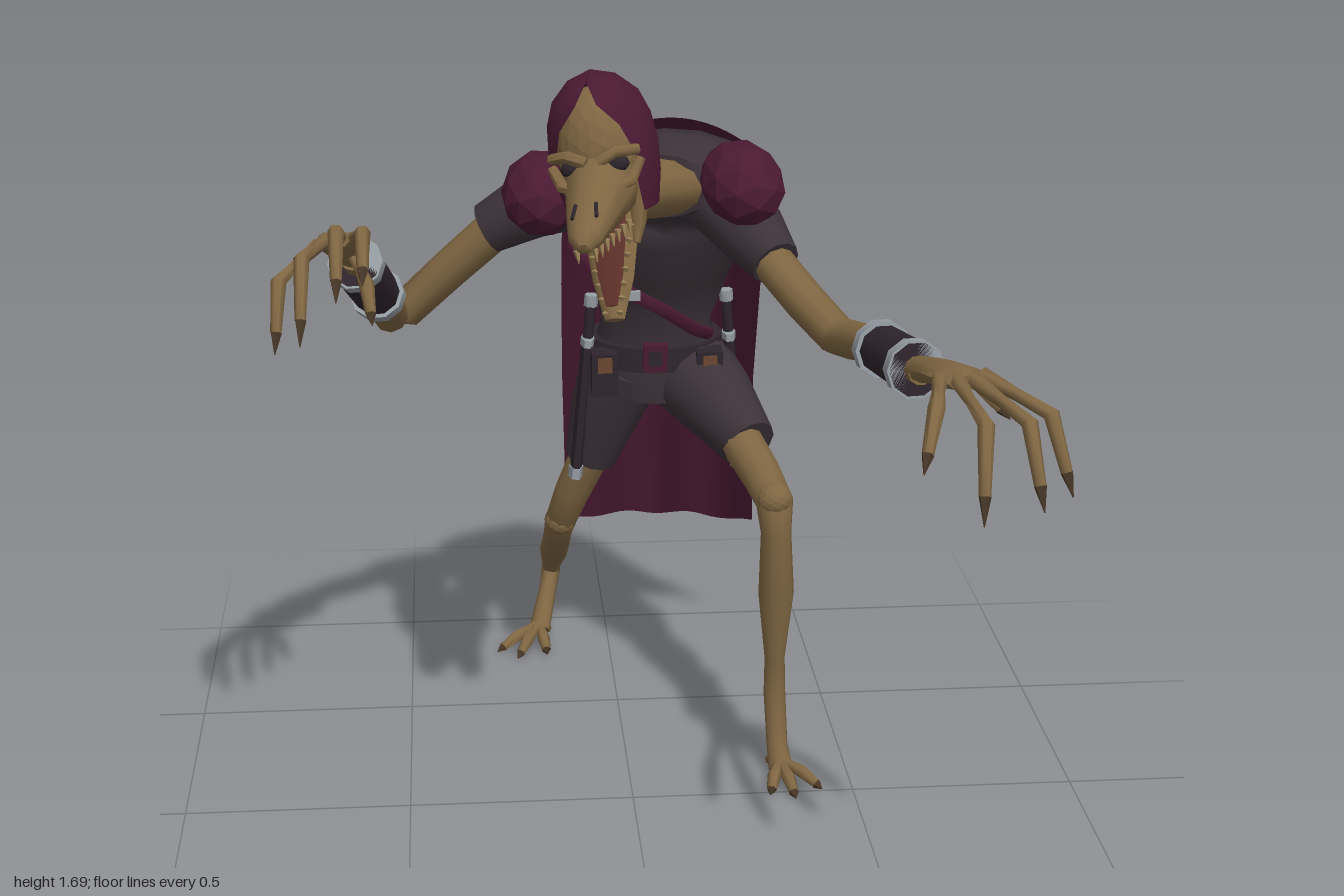
import * as THREE from 'three';
import { toCreasedNormals } from 'three/addons/utils/BufferGeometryUtils.js';

const mat = (name, color, side = THREE.FrontSide) => {
  const m = new THREE.MeshStandardMaterial({ color, side });
  m.name = name;
  return m;
};
const skin = mat('tan skin', 0x7f6642);
const wine = mat('burgundy cloth', 0x4a1a32, THREE.DoubleSide);
const cloth = mat('charcoal cloth', 0x3c3238);
const leather = mat('dark leather', 0x2f252d);
const silver = mat('silver metal', 0x969da4);
const mouthRed = mat('mouth red', 0x5c3029);
const bone = mat('tooth bone', 0xa0875a);
const dark = mat('eye dark', 0x2c2429);
const horn = mat('claw brown', 0x463627);
const wood = mat('brown grip', 0x6b4630);

const V = (p) => new THREE.Vector3(p[0], p[1], p[2]);
const mix = (p, q, t) => p.map((v, i) => v + (q[i] - v) * t);

function geo(pos, idx) {
  const g = new THREE.BufferGeometry();
  g.setAttribute('position', new THREE.Float32BufferAttribute(pos, 3));
  g.setIndex(idx);
  return toCreasedNormals(g, 1.1);
}

function add(parent, name, geometry, material) {
  const m = new THREE.Mesh(geometry, material);
  m.name = name;
  parent.add(m);
  return m;
}

// Capped tube through elliptical sections [x, y, z, a, b]; hint sets the direction of a
function loft(parent, name, material, path, sides = 8, hint) {
  const c = path.map(V), n = c.length, pos = [], idx = [];
  const whole = c[n - 1].clone().sub(c[0]).normalize();
  const ref = hint ? V(hint) : Math.abs(whole.x) > 0.8 ? V([0, 0, 1]) : V([1, 0, 0]);
  path.forEach(([, , , a, b = a], i) => {
    const t = c[Math.min(i + 1, n - 1)].clone().sub(c[Math.max(i - 1, 0)]).normalize();
    const s = ref.clone().addScaledVector(t, -t.dot(ref)).normalize();
    const u = t.clone().cross(s);
    for (let j = 0; j < sides; j++) {
      const w = (j / sides) * Math.PI * 2;
      pos.push(...c[i].clone().addScaledVector(s, a * Math.cos(w)).addScaledVector(u, b * Math.sin(w)).toArray());
    }
  });
  pos.push(...c[0].toArray(), ...c[n - 1].toArray());
  for (let j = 0; j < sides; j++) {
    const k = (j + 1) % sides, e = (n - 1) * sides;
    for (let i = 0; i < n - 1; i++) {
      const p = i * sides, q = p + sides;
      idx.push(p + j, p + k, q + j, p + k, q + k, q + j);
    }
    idx.push(n * sides, k, j, n * sides + 1, e + j, e + k);
  }
  return add(parent, name, geo(pos, idx), material);
}

// Faceted ellipsoid
function blob(parent, name, material, p, scale, detail = 1) {
  const g = new THREE.IcosahedronGeometry(1, detail);
  g.computeVertexNormals();
  const m = add(parent, name, g, material);
  m.position.set(...p);
  m.scale.set(...scale);
  return m;
}

// Bony finger or toe ending in a claw
function digit(parent, name, root, joint, tip, r) {
  const k = mix(joint, tip, 0.7);
  loft(parent, name, skin, [[...root, r], [...mix(root, joint, 0.5), r * 0.75], [...joint, r], [...k, r * 0.7]], 6);
  loft(parent, name + 'Claw', horn, [[...k, r * 0.75], [...tip, 0.001]], 5);
}

// Bracer with a silver ring at each end
function bracer(parent, p, q) {
  loft(parent, 'bracer', leather, [[...p, 0.05], [...q, 0.054]], 10);
  for (const t of [0, 0.88]) {
    loft(parent, 'bracerRing', silver, [[...mix(p, q, t), 0.059], [...mix(p, q, t + 0.12), 0.059]], 10);
  }
}

// Sheathed blade hanging from the belt
function sword(parent, top, end) {
  const piece = (name, m, s, e, a, b) =>
    loft(parent, name, m, [[...mix(top, end, s), b, a], [...mix(top, end, e), b, a]], 6);
  piece('swordPommel', silver, 0, 0.06, 0.016, 0.016);
  piece('swordGrip', leather, 0.05, 0.24, 0.012, 0.012);
  piece('swordGuard', silver, 0.23, 0.27, 0.032, 0.016);
  piece('swordSheath', leather, 0.27, 0.94, 0.024, 0.014);
  piece('sheathTip', silver, 0.94, 1, 0.026, 0.017);
}

function buildHead(root) {
  const head = new THREE.Group();
  head.name = 'head';
  head.position.set(-0.075, 1.56, 0.17);
  head.rotation.set(0, -0.27, 0.17);
  root.add(head);
  blob(head, 'skull', skin, [0, -0.015, 0.005], [0.093, 0.125, 0.097], 3);

  // Hood shell with a pointed opening over the face: [y, rx, rz, opening angle]
  const rows = [[0.138, 0.005, 0.005, 0], [0.122, 0.05, 0.05, 0.02], [0.085, 0.087, 0.09, 0.25], [0.04, 0.104, 0.106, 0.62],
    [-0.02, 0.11, 0.112, 0.82], [-0.08, 0.105, 0.107, 0.8], [-0.14, 0.092, 0.098, 0.95]];
  const pos = [], idx = [], n = 18;
  rows.forEach(([y, rx, rz, o], i) => {
    for (let j = 0; j <= n; j++) {
      const w = o + (Math.PI * 2 - 2 * o) * (j / n);
      pos.push(rx * Math.sin(w), y, rz * Math.cos(w));
      const p = i * (n + 1) + j, q = p + n + 1;
      if (i < rows.length - 1 && j < n) idx.push(p, q, p + 1, p + 1, q, q + 1);
    }
  });
  add(head, 'hood', geo(pos, idx), wine);

  // Long upper snout and hanging lower jaw
  loft(head, 'snout', skin, [[0, -0.07, 0.03, 0.08, 0.085], [0, -0.09, 0.11, 0.066, 0.068],
    [0, -0.115, 0.2, 0.048, 0.042], [0, -0.135, 0.262, 0.034, 0.027], [0, -0.148, 0.287, 0.014, 0.012]], 10);
  loft(head, 'lowerJaw', skin, [[0, -0.1, 0.0, 0.06, 0.03], [0, -0.17, 0.05, 0.056, 0.024],
    [0, -0.26, 0.105, 0.042, 0.02], [0, -0.33, 0.15, 0.02, 0.012]], 8);
  loft(head, 'mouthLining', mouthRed, [[0, -0.125, 0.05, 0.036, 0.004], [0, -0.165, 0.074, 0.036, 0.004],
    [0, -0.245, 0.121, 0.026, 0.004], [0, -0.3, 0.153, 0.012, 0.004]], 6);
  for (const s of [-1, 1]) {
    loft(head, 'jawHinge', skin, [[s * 0.07, -0.08, 0.04, 0.02], [s * 0.058, -0.16, 0.05, 0.016], [s * 0.05, -0.2, 0.07, 0.008]], 6);
    blob(head, 'eye', dark, [s * 0.045, -0.033, 0.094], [0.025, 0.018, 0.018]);
    loft(head, 'brow', skin, [[s * 0.012, -0.022, 0.115, 0.012], [s * 0.048, -0.006, 0.108, 0.013], [s * 0.088, -0.012, 0.08, 0.011]], 6);
    loft(head, 'cheekbone', skin, [[s * 0.035, -0.075, 0.125, 0.012], [s * 0.07, -0.066, 0.1, 0.013], [s * 0.09, -0.03, 0.078, 0.01]], 6);
    loft(head, 'nostril', dark, [[s * 0.02, -0.078, 0.215, 0.004], [s * 0.024, -0.097, 0.245, 0.004]], 5);
    for (let i = 0; i < 7; i++) {
      const t = i / 6;
      const u = mix([s * 0.054, -0.14, 0.12], [s * 0.018, -0.152, 0.275], t);
      loft(head, 'upperTooth', bone, [[...u, 0.007], [u[0], u[1] - 0.026, u[2], 0.001]], 4);
      const l = mix([s * 0.046, -0.165, 0.07], [s * 0.015, -0.315, 0.155], t);
      loft(head, 'lowerTooth', bone, [[...l, 0.007], [l[0], l[1] + 0.01, l[2] + 0.024, 0.001]], 4);
    }
  }
}

function buildCape(root) {
  // Rows from collar to hem: [y, z, left x, right x, forward wrap]
  const rows = [[1.48, -0.36, -0.07, 0.28, -0.05], [1.455, -0.46, -0.11, 0.32, 0.05], [1.31, -0.605, -0.125, 0.335, 0.16],
    [1.05, -0.695, -0.125, 0.335, 0.15], [0.79, -0.775, -0.12, 0.335, 0.12], [0.34, -0.895, -0.105, 0.36, 0.06]];
  const pos = [], idx = [], n = 24;
  rows.forEach(([y, z, x0, x1, wrap], i) => {
    for (let j = 0; j <= n; j++) {
      const u = j / n, e = (2 * u - 1) ** 2, v = i / 5, fold = Math.cos(u * Math.PI * 6);
      pos.push(x0 + (x1 - x0) * u, y - (i < 2 ? 0.07 * e : 0) + (i === 5 ? 0.01 * fold : 0),
        z + wrap * e + v * (0.014 * fold + 0.05 * (u - 0.4)));
      const p = i * (n + 1) + j, q = p + n + 1;
      if (i < 5 && j < n) idx.push(p, p + 1, q, p + 1, q + 1, q);
    }
  });
  add(root, 'cape', geo(pos, idx), wine);
}

export function createModel() {
  const root = new THREE.Group();
  root.name = 'hoodedCreature';

  // Body
  loft(root, 'torso', cloth, [[0.07, 1.365, -0.21, 0.12, 0.07], [0.09, 1.362, -0.28, 0.19, 0.1], [0.1, 1.34, -0.34, 0.21, 0.13],
    [0.1, 1.27, -0.4, 0.212, 0.145], [0.095, 1.13, -0.455, 0.165, 0.125], [0.09, 0.98, -0.505, 0.125, 0.1],
    [0.09, 0.89, -0.51, 0.155, 0.11], [0.09, 0.79, -0.5, 0.115, 0.09]], 16);
  loft(root, 'neck', skin, [[0.09, 1.345, -0.29, 0.13, 0.07], [0.04, 1.368, -0.18, 0.097, 0.065], [-0.01, 1.388, -0.05, 0.07, 0.05],
    [-0.045, 1.425, 0.08, 0.056, 0.05], [-0.075, 1.5, 0.15, 0.06, 0.055]], 12);
  buildHead(root);
  buildCape(root);

  // Belt, buckle, pouches, chest strap and blades
  loft(root, 'belt', leather, [[0.09, 0.945, -0.505, 0.155, 0.113], [0.09, 0.89, -0.51, 0.165, 0.12]], 16);
  const box = (name, m, p, s) => add(root, name, new THREE.BoxGeometry(...s), m).position.set(...p);
  box('buckle', wine, [0.08, 0.92, -0.385], [0.055, 0.065, 0.02]);
  box('buckleCentre', leather, [0.08, 0.92, -0.374], [0.03, 0.035, 0.006]);
  for (const x of [-0.035, 0.205]) {
    box('pouch', leather, [x, 0.88, -0.41], [0.06, 0.1, 0.06]);
    box('pouchFlap', wood, [x, 0.905, -0.378], [0.032, 0.035, 0.008]);
  }
  loft(root, 'chestStrap', wine, [[-0.11, 1.2, -0.375, 0.012, 0.016], [-0.04, 1.13, -0.33, 0.012, 0.016], [0.03, 1.085, -0.325, 0.012, 0.016],
    [0.1, 1.04, -0.35, 0.012, 0.016], [0.17, 0.98, -0.405, 0.012, 0.016], [0.21, 0.95, -0.46, 0.012, 0.016]], 6, [0, 0, 1]);
  box('strapClasp', silver, [0.025, 1.09, -0.312], [0.03, 0.02, 0.016]);
  sword(root, [-0.06, 1.05, -0.46], [-0.1, 0.6, -0.48]);
  sword(root, [0.25, 1.05, -0.48], [0.285, 0.61, -0.5]);

  // Shoulders and sleeves
  blob(root, 'leftPauldron', wine, [0.245, 1.38, -0.165], [0.09, 0.085, 0.122]).rotation.set(0.25, 0.2, 0);
  blob(root, 'rightPauldron', wine, [-0.18, 1.355, -0.21], [0.088, 0.087, 0.115]).rotation.set(0.25, -0.1, 0);
  loft(root, 'leftSleeve', cloth, [[0.2, 1.34, -0.27, 0.09], [0.27, 1.27, -0.16, 0.075], [0.31, 1.225, -0.08, 0.055]], 12);
  loft(root, 'rightSleeve', cloth, [[-0.08, 1.345, -0.3, 0.09], [-0.2, 1.3, -0.315, 0.075], [-0.295, 1.245, -0.335, 0.058]], 12);

  // Left arm, reaching forward
  loft(root, 'leftArm', skin, [[0.27, 1.26, -0.15, 0.045], [0.36, 1.17, 0.02, 0.044], [0.415, 1.122, 0.11, 0.042],
    [0.44, 1.13, 0.17, 0.04], [0.47, 1.165, 0.32, 0.036], [0.505, 1.19, 0.56, 0.026]], 10);
  bracer(root, [0.467, 1.163, 0.32], [0.5, 1.187, 0.535]);
  loft(root, 'leftPalm', skin, [[0.503, 1.19, 0.54, 0.026], [0.525, 1.215, 0.63, 0.042, 0.025], [0.55, 1.23, 0.72, 0.048, 0.022], [0.555, 1.23, 0.745, 0.038, 0.015]], 8);
  for (const [r, j, t] of [
    [[0.51, 1.23, 0.71], [0.475, 1.225, 0.86], [0.44, 1.13, 0.945]],
    [[0.535, 1.235, 0.73], [0.55, 1.215, 0.93], [0.54, 1.05, 1.0]],
    [[0.565, 1.235, 0.73], [0.635, 1.205, 0.9], [0.655, 1.06, 0.965]],
    [[0.59, 1.23, 0.7], [0.695, 1.19, 0.815], [0.73, 1.05, 0.87]],
    [[0.535, 1.205, 0.61], [0.6, 1.19, 0.635], [0.655, 1.13, 0.67]]]) digit(root, 'leftFinger', r, j, t, 0.016);

  // Right arm, bent and raised
  loft(root, 'rightArm', skin, [[-0.25, 1.27, -0.33, 0.046], [-0.38, 1.15, -0.355, 0.044], [-0.485, 1.045, -0.385, 0.042],
    [-0.515, 1.045, -0.36, 0.042], [-0.535, 1.13, -0.23, 0.036], [-0.58, 1.28, 0.01, 0.026]], 10, [0.6, 0.6, -0.5]);
  bracer(root, [-0.535, 1.125, -0.23], [-0.577, 1.262, -0.025]);
  loft(root, 'rightPalm', skin, [[-0.578, 1.275, -0.01, 0.026], [-0.595, 1.315, 0.05, 0.04, 0.025], [-0.61, 1.345, 0.11, 0.044, 0.022], [-0.615, 1.35, 0.13, 0.036, 0.015]], 8);
  for (const [r, j, t] of [
    [[-0.575, 1.345, 0.1], [-0.55, 1.395, 0.23], [-0.55, 1.32, 0.345]],
    [[-0.6, 1.355, 0.12], [-0.6, 1.41, 0.27], [-0.6, 1.3, 0.39]],
    [[-0.625, 1.35, 0.11], [-0.67, 1.35, 0.25], [-0.675, 1.2, 0.35]],
    [[-0.645, 1.335, 0.1], [-0.72, 1.29, 0.2], [-0.73, 1.16, 0.27]],
    [[-0.575, 1.3, 0.05], [-0.55, 1.25, 0.1], [-0.54, 1.18, 0.155]]]) digit(root, 'rightFinger', r, j, t, 0.016);

  // Left leg, stepping forward
  loft(root, 'leftShorts', cloth, [[0.16, 0.86, -0.51, 0.11], [0.22, 0.81, -0.4, 0.094], [0.285, 0.745, -0.275, 0.064]], 12);
  loft(root, 'leftLeg', skin, [[0.25, 0.77, -0.33, 0.05], [0.3, 0.71, -0.17, 0.046], [0.322, 0.67, -0.1, 0.042], [0.326, 0.6, -0.1, 0.034],
    [0.33, 0.45, -0.107, 0.04], [0.333, 0.28, -0.13, 0.023], [0.335, 0.19, -0.135, 0.025], [0.34, 0.07, -0.11, 0.024], [0.345, 0.025, -0.075, 0.028, 0.02]], 10);
  blob(root, 'leftKnee', skin, [0.32, 0.68, -0.1], [0.04, 0.038, 0.04], 2);
  for (const t of [[0.31, 0.008, 0.02], [0.365, 0.008, 0.04], [0.43, 0.008, 0], [0.325, 0.008, -0.145]])
    digit(root, 'leftToe', [0.343, 0.04, -0.09], mix([0.343, 0.06, -0.09], t, 0.55), t, 0.016);

  // Right leg, trailing behind
  loft(root, 'rightShorts', cloth, [[0.02, 0.87, -0.51, 0.1], [-0.02, 0.76, -0.53, 0.088], [-0.06, 0.62, -0.55, 0.06]], 12);
  loft(root, 'rightLeg', skin, [[-0.05, 0.65, -0.55, 0.05], [-0.1, 0.53, -0.575, 0.044], [-0.13, 0.44, -0.605, 0.038], [-0.135, 0.39, -0.65, 0.034],
    [-0.138, 0.29, -0.79, 0.036], [-0.14, 0.18, -0.95, 0.023], [-0.14, 0.155, -0.972, 0.024], [-0.15, 0.11, -0.945, 0.022], [-0.175, 0.035, -0.865, 0.026, 0.02]], 10);
  blob(root, 'rightKnee', skin, [-0.13, 0.44, -0.605], [0.039, 0.038, 0.04], 2);
  for (const t of [[-0.285, 0.008, -0.79], [-0.235, 0.008, -0.745], [-0.16, 0.008, -0.765], [-0.15, 0.008, -0.91]])
    digit(root, 'rightToe', [-0.175, 0.045, -0.875], mix([-0.175, 0.06, -0.875], t, 0.55), t, 0.016);

  return root;
}
